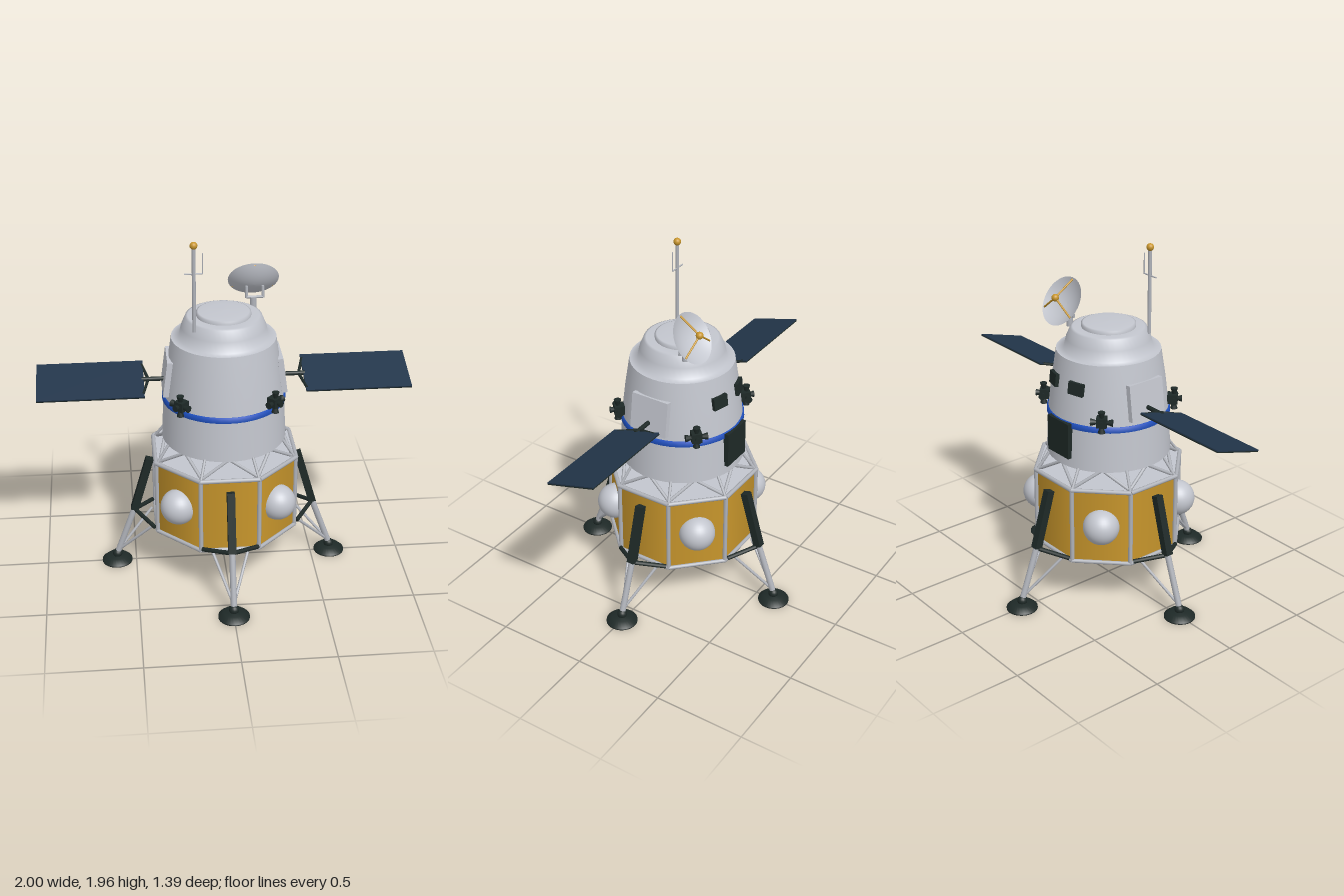
import * as THREE from 'three';

const mat = (name, color, side = THREE.FrontSide) => {
  const m = new THREE.MeshStandardMaterial({ color, side });
  m.name = name;
  return m;
};

export function createModel() {
  const root = new THREE.Group();
  root.name = 'lander';
  const hull = mat('light grey hull', 0xc3c6ce, THREE.DoubleSide);
  const metal = mat('grey metal', 0xb0b3ba);
  const gold = mat('gold foil', 0xc8962c);
  const dark = mat('dark fittings', 0x1e2927, THREE.DoubleSide);
  const blue = mat('blue stripe', 0x1f52c4);
  const solar = mat('navy solar cells', 0x22354a);

  const V = (x, y, z) => new THREE.Vector3(x, y, z);
  const UP = V(0, 1, 0);
  const add = (name, geo, m, x = 0, y = 0, z = 0, parent = root) => {
    const mesh = new THREE.Mesh(geo, m);
    mesh.name = name;
    mesh.position.set(x, y, z);
    parent.add(mesh);
    return mesh;
  };
  const box = (name, w, h, d, m, x, y, z, parent) => add(name, new THREE.BoxGeometry(w, h, d), m, x, y, z, parent);
  const cyl = (name, rt, rb, h, m, x, y, z, parent, seg = 24) =>
    add(name, new THREE.CylinderGeometry(rt, rb, h, seg), m, x, y, z, parent);
  // Rod from a to b
  const rod = (name, a, b, r, m, parent = root, seg = 8) => {
    const d = b.clone().sub(a);
    const mesh = cyl(name, r, r, d.length(), m, 0, 0, 0, parent, seg);
    mesh.position.copy(a).add(b).multiplyScalar(0.5);
    mesh.quaternion.setFromUnitVectors(UP, d.normalize());
    return mesh;
  };
  const lathe = (name, pts, m, parent = root, seg = 48) =>
    add(name, new THREE.LatheGeometry(pts.map(p => new THREE.Vector2(p[0], p[1])), seg), m, 0, 0, 0, parent);
  // Point on a circle about the vertical axis, angle measured from +z
  const polar = (r, y, a) => V(r * Math.sin(a), y, r * Math.cos(a));

  // Octagonal descent stage
  const E = Math.PI / 8;
  const octagon = (name, r, h, m, y, open = false) =>
    add(name, new THREE.CylinderGeometry(r, r, h, 8, 1, open, E), m, 0, y, 0);
  octagon('descentStage', 0.406, 0.41, gold, 0.49, true);
  octagon('topDeck', 0.412, 0.016, hull, 0.706);
  octagon('bottomDeck', 0.412, 0.016, hull, 0.283);
  for (let i = 0; i < 8; i++) {
    const a = E + i * Math.PI / 4, b = a + Math.PI / 4;
    rod('cornerBeam', polar(0.41, 0.28, a), polar(0.41, 0.71, a), 0.012, metal);
    rod('upperRail', polar(0.413, 0.71, a), polar(0.413, 0.71, b), 0.012, metal);
    rod('lowerRail', polar(0.413, 0.283, a), polar(0.413, 0.283, b), 0.011, metal);
    // Truss between the stages
    const mid = a + Math.PI / 8;
    rod('trussStrut', polar(0.39, 0.715, a), polar(0.32, 0.805, mid), 0.009, metal);
    rod('trussStrut', polar(0.39, 0.715, b), polar(0.32, 0.805, mid), 0.009, metal);
    rod('trussPost', polar(0.4, 0.715, a), polar(0.335, 0.805, a), 0.008, metal);
  }

  // Propellant tanks and thruster clusters on the diagonals
  for (let i = 0; i < 4; i++) {
    const a = Math.PI / 4 + i * Math.PI / 2;
    const t = polar(0.38, 0.5, a);
    add('tank', new THREE.SphereGeometry(0.098, 32, 20), hull, t.x, t.y, t.z);
    const g = new THREE.Group();
    g.name = 'thrusterCluster';
    g.position.copy(polar(0.345, 1.098, a));
    g.rotation.y = a;
    root.add(g);
    box('thrusterBlock', 0.055, 0.052, 0.055, dark, 0, 0, 0, g);
    for (let k = 0; k < 4; k++) {
      const n = cyl('nozzle', 0.02, 0.01, 0.034, dark, 0, 0, 0, g, 12);
      const q = k * Math.PI / 2;
      n.position.set(-Math.sin(q) * 0.042, Math.cos(q) * 0.042, 0.008);
      n.rotation.z = q;
    }
    cyl('outerNozzle', 0.018, 0.01, 0.028, dark, 0, 0, 0.036, g, 12).rotation.x = Math.PI / 2;
  }

  // Engine bell, hollow from below
  lathe('engineBell', [[0, 0.25], [0.06, 0.25], [0.13, 0.14]], dark, root, 32);
  cyl('engineMount', 0.075, 0.065, 0.04, dark, 0, 0.264, 0);

  // Landing legs
  for (let i = 0; i < 4; i++) {
    const leg = new THREE.Group();
    leg.name = 'landingLeg';
    leg.rotation.y = i * Math.PI / 2;
    root.add(leg);
    const knee = V(0, 0.335, 0.502), ankle = V(0, 0.05, 0.605);
    const a = V(0, 0.655, 0.41);
    const d = knee.clone().sub(a);
    const upper = box('upperStrut', 0.042, d.length(), 0.042, dark, 0, 0, 0, leg);
    upper.position.copy(a).add(knee).multiplyScalar(0.5);
    upper.quaternion.setFromUnitVectors(UP, d.normalize());
    rod('lowerStrut', V(0, 0.35, 0.497), ankle, 0.017, metal, leg, 12);
    for (const s of [-1, 1]) {
      rod('kneeBrace', V(0, 0.333, 0.5), V(s * 0.15, 0.3, 0.395), 0.012, dark, leg);
      rod('footBrace', V(0, 0.07, 0.597), V(s * 0.095, 0.28, 0.4), 0.008, metal, leg);
    }
    const foot = lathe('footPad', [[0, 0], [0.085, 0], [0.085, 0.008], [0.055, 0.034], [0, 0.034]], dark, leg, 28);
    foot.position.z = 0.608;
    add('ankleBall', new THREE.SphereGeometry(0.027, 16, 12), dark, 0, 0.045, 0.606, leg);
  }

  // Ascent cabin
  lathe('cabinFloor', [[0, 0.8], [0.337, 0.8]], hull);
  lathe('lowerCabin', [[0.337, 0.8], [0.332, 0.92], [0.327, 1.035]], hull);
  lathe('stripe', [[0.325, 1.026], [0.334, 1.026], [0.332, 1.056], [0.32, 1.056]], blue);
  lathe('upperCabin', [[0.325, 1.05], [0.305, 1.215], [0.28, 1.38]], hull);
  lathe('shoulder', [[0.28, 1.38], [0.24, 1.382], [0.226, 1.44], [0.203, 1.495], [0.19, 1.5], [0.14, 1.5]], hull);
  lathe('topHatch', [[0.145, 1.495], [0.145, 1.518], [0.135, 1.522], [0.08, 1.525], [0, 1.527]], hull);

  // Solar wings with their mounting plates
  const tilt = Math.atan2(0.08, 0.28);
  for (const s of [-1, 1]) {
    const plate = box('wingMountPlate', 0.03, 0.2, 0.22, hull, s * 0.305, 1.18, 0);
    plate.rotation.z = s * 0.13;
    const wing = new THREE.Group();
    wing.name = 'solarWing';
    wing.position.set(0, 1.14, 0);
    wing.rotation.x = tilt;
    root.add(wing);
    box('solarCells', 0.57, 0.006, 0.29, solar, s * 0.715, 0.003, 0, wing);
    box('wingBacking', 0.57, 0.006, 0.29, dark, s * 0.715, -0.003, 0, wing);
    rod('wingArm', V(s * 0.3, 0, 0), V(s * 0.44, 0, 0), 0.012, dark, wing, 12);
    for (const k of [-1, 1])
      rod('wingFork', V(s * 0.405, 0, 0), V(s * 0.438, 0, k * 0.12), 0.008, dark, wing);
  }

  // Rear windows and hatch
  for (const s of [-1, 1]) {
    const w = box('rearWindow', 0.09, 0.068, 0.03, dark, s * 0.092, 1.245, -0.288);
    w.rotation.set(0.12, s * -0.3, 0);
  }
  box('rearHatch', 0.175, 0.2, 0.035, dark, 0, 0.953, -0.328);

  // Whip antenna
  const ax = -0.165, az = 0.14;
  rod('mast', V(ax, 1.47, az), V(ax, 1.94, az), 0.01, metal, root, 12);
  add('mastTip', new THREE.SphereGeometry(0.02, 16, 12), gold, ax, 1.942, az);
  rod('mastCrossbar', V(ax - 0.05, 1.79, az), V(ax + 0.045, 1.79, az), 0.004, metal);
  rod('whip', V(ax + 0.045, 1.79, az), V(ax + 0.045, 1.9, az), 0.003, metal);

  // Dish antenna, facing up and to the rear
  const dish = new THREE.Group();
  dish.name = 'dishAntenna';
  dish.position.set(0.175, 1.627, -0.175);
  dish.quaternion.setFromUnitVectors(UP, V(0, 0.55, -0.84).normalize());
  root.add(dish);
  const bowl = [];
  for (let i = 0; i <= 8; i++) bowl.push([0.137 * i / 8, -0.042 * (1 - (i / 8) ** 2)]);
  lathe('dishBowl', bowl, hull, dish, 40);
  for (let i = 0; i < 3; i++)
    rod('feedStrut', polar(0.128, -0.005, i * Math.PI * 2 / 3), V(0, 0.05, 0), 0.005, gold, dish);
  add('feed', new THREE.SphereGeometry(0.02, 16, 12), gold, 0, 0.05, 0, dish);
  cyl('dishPedestal', 0.018, 0.018, 0.06, metal, 0.17, 1.51, -0.128);
  rod('yokeBar', V(0.135, 1.54, -0.128), V(0.222, 1.54, -0.128), 0.008, metal);
  for (const x of [0.135, 0.222])
    rod('yokeProng', V(x, 1.535, -0.128), V(x, 1.6, -0.135), 0.008, metal);

  return root;
}
